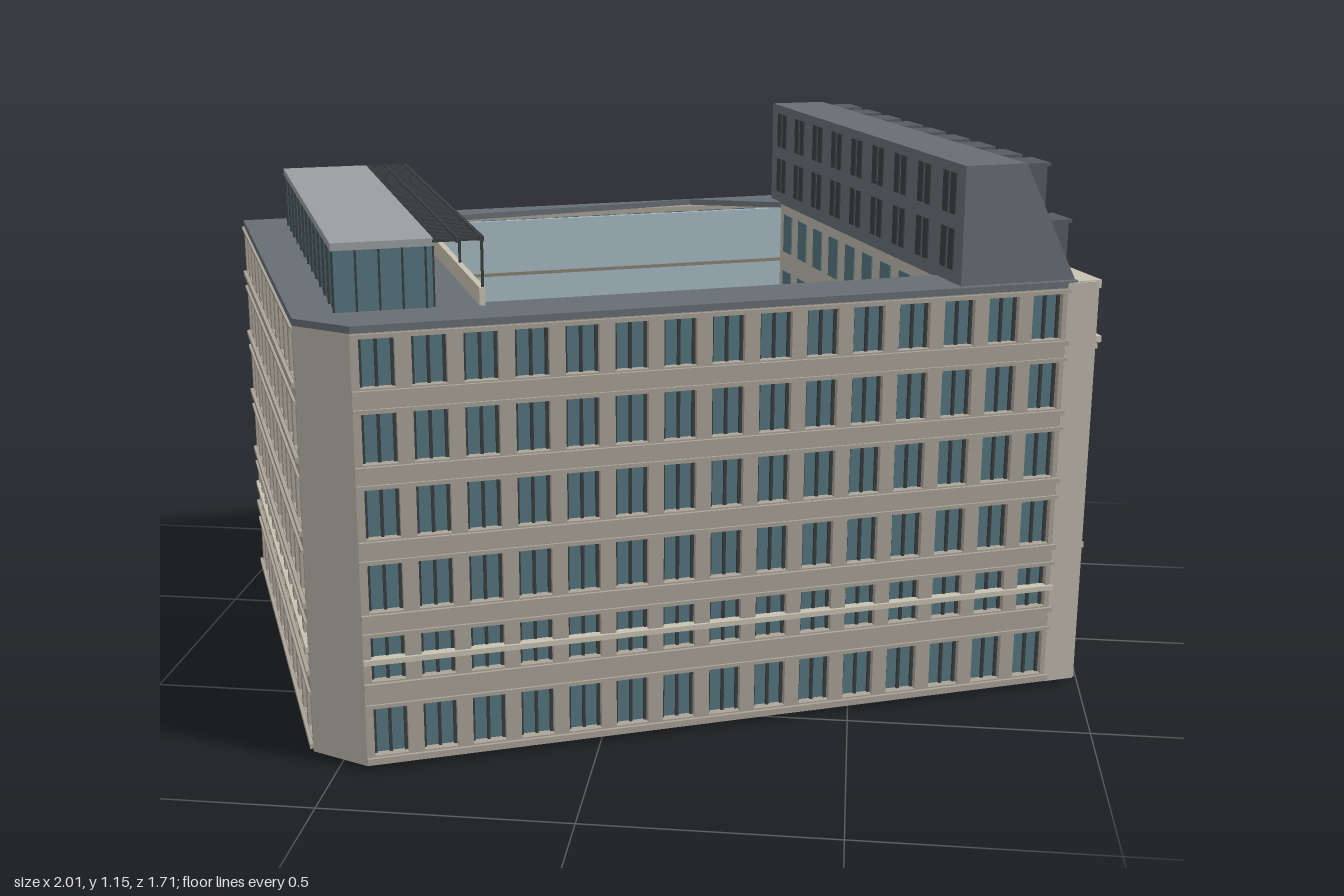
import * as THREE from 'three';
import { mergeGeometries } from 'three/addons/utils/BufferGeometryUtils.js';

const STONE = 0xaaa498, PALE = 0xbcb7ac, GLASS = 0x56757e, SLATE = 0x666e74, DARK = 0x3a3e40,
  YARD = 0xa9bcc4, TRIM = 0xc8c2b2;

function add(parent, name, color, geometry, doubleSide = false) {
  const material = new THREE.MeshStandardMaterial({ color, flatShading: true });
  if (doubleSide) material.side = THREE.DoubleSide;
  const mesh = new THREE.Mesh(geometry, material);
  mesh.name = name;
  parent.add(mesh);
  return mesh;
}

// one mesh from a list of boxes given as [x0, x1, y0, y1, z0, z1]
function boxes(parent, name, color, list) {
  const parts = list.map(([x0, x1, y0, y1, z0, z1]) =>
    new THREE.BoxGeometry(x1 - x0, y1 - y0, z1 - z0).translate((x0 + x1) / 2, (y0 + y1) / 2, (z0 + z1) / 2));
  return add(parent, name, color, mergeGeometries(parts));
}

// group whose x runs from plan point a to b and whose z points outward
function side(parent, name, a, b) {
  const g = new THREE.Group();
  g.name = name;
  g.position.set(a[0], 0, a[1]);
  g.rotation.y = Math.atan2(a[1] - b[1], b[0] - a[0]);
  parent.add(g);
  return Math.hypot(b[0] - a[0], b[1] - a[1]);
}

// wall panel with rectangular openings [x0, x1, y0, y1], face at z
function panel(parent, x0, x1, y0, y1, z, depth, color, openings) {
  const rect = (P, a, b, c, d) => new P().moveTo(a, c).lineTo(b, c).lineTo(b, d).lineTo(a, d).closePath();
  const shape = rect(THREE.Shape, x0, x1, y0, y1);
  openings.forEach(o => shape.holes.push(rect(THREE.Path, ...o)));
  const geo = new THREE.ExtrudeGeometry(shape, { depth, bevelEnabled: false }).translate(0, 0, z - depth);
  add(parent, 'wall', color, geo);
  if (!openings.length) return;
  const gz = z - depth * 0.75;
  boxes(parent, 'glass', GLASS, openings.map(([a, b, c, d]) => [a, b, c, d, gz - 0.002, gz]));
  boxes(parent, 'windowFrames', DARK, openings.flatMap(([a, b, c, d]) => {
    const m = (a + b) / 2, t = 0.003;
    return [[m - t, m + t, c, d, gz, gz + 0.006], [a, a + 2 * t, c, d, gz, gz + 0.006],
      [b - 2 * t, b, c, d, gz, gz + 0.006], [a, b, d - t, d, gz, gz + 0.006]];
  }));
}

// office wing with six rows of equal windows
const ROWS = [[0.03, 0.13], [0.188, 0.28], [0.332, 0.43], [0.482, 0.582], [0.632, 0.732], [0.782, 0.878]];
function officeWall(parent, name, a, b, count) {
  const L = side(parent, name, a, b), g = parent.children.at(-1);
  const pitch = L / count, openings = [];
  for (const [y0, y1] of ROWS)
    for (let i = 0; i < count; i++) {
      const c = (i + 0.5) * pitch;
      openings.push([c - pitch * 0.34, c + pitch * 0.34, y0, y1]);
    }
  panel(g, 0, L, 0.01, 0.89, 0, 0.025, STONE, openings);
  boxes(g, 'sillBands', STONE, ROWS.flatMap(([y0, y1]) =>
    [[0, L, y0 - 0.014, y0 - 0.003, 0, 0.007], [0, L, y1 + 0.003, y1 + 0.01, 0, 0.005]]));
  boxes(g, 'stringCourse', TRIM, [[0, L, 0.225, 0.236, -0.015, 0.006]]);
}

function stoneFacade(parent) {
  const L = side(parent, 'stoneFacade', [0.805, 0.6], [0.805, -0.585]), g = parent.children.at(-1);
  const rows = [[0.025, 0.155], [0.195, 0.295], [0.34, 0.45], [0.49, 0.59], [0.64, 0.73], [0.805, 0.865]];
  const bays = [ // from, to, face, window centres, half width
    [0, 0.27, 0.015, [0.06, 0.2], 0.026],
    [0.27, 0.92, 0, [0.334, 0.464, 0.594, 0.723, 0.853], 0.028],
    [0.92, L, 0.015, [0.983, 1.048, 1.113], 0.019]];
  const door = 0.594;
  for (const [x0, x1, z, centres, h] of bays) {
    const openings = [], trim = [];
    for (const c of centres) rows.forEach(([y0, y1], r) => {
      if (c === door && r < 2) return;
      openings.push([c - h, c + h, y0, y1]);
      trim.push([c - h - 0.008, c + h + 0.008, y0 - 0.01, y0, z, z + 0.009],
        [c - h - 0.007, c - h, y0, y1, z, z + 0.005], [c + h, c + h + 0.007, y0, y1, z, z + 0.005],
        [c - h - 0.007, c + h + 0.007, y1, y1 + 0.007, z, z + 0.005]);
      if (r === 2) trim.push([c - h - 0.014, c + h + 0.014, y1 + 0.01, y1 + 0.02, z, z + 0.014]);
    });
    if (centres.includes(door)) openings.push([door - 0.03, door + 0.03, 0.012, 0.155]);
    panel(g, x0, x1, 0.01, 0.9, z, 0.03, PALE, openings);
    boxes(g, 'windowSurrounds', PALE, trim);
    // plinth, string courses, main cornice and eaves
    boxes(g, 'cornices', TRIM, [[x0, x1, 0.01, 0.022, z, z + 0.006], [x0, x1, 0.312, 0.324, z, z + 0.009],
      [x0, x1, 0.755, 0.765, z, z + 0.01], [x0, x1, 0.768, 0.782, z, z + 0.018],
      [x0, x1, 0.885, 0.902, -0.04, z + 0.01]]);
  }
  // vertical pilaster strips at bay corners
  boxes(g, 'pilasters', PALE, [0, 0.258, 0.92, L - 0.012].map(x => [x, x + 0.012, 0.01, 0.885, 0, 0.02]));
  // entrance porch
  const porch = [[door - 0.075, door + 0.075, 0.178, 0.192, 0, 0.032], [door - 0.066, door + 0.066, 0.16, 0.178, 0, 0.022]];
  for (const s of [-1, 1]) porch.push([door + s * 0.058 - 0.008, door + s * 0.058 + 0.008, 0.01, 0.01 + 0.012, 0, 0.028]);
  boxes(g, 'porch', TRIM, porch);
  for (const s of [-1, 1])
    add(g, 'porchColumn', TRIM, new THREE.CylinderGeometry(0.008, 0.009, 0.14, 10).translate(door + s * 0.055, 0.09, 0.014));
  boxes(g, 'door', DARK, [[door - 0.022, door + 0.022, 0.012, 0.115, -0.018, -0.01]]);
  const fan = new THREE.CylinderGeometry(0.046, 0.046, 0.008, 20, 1, false, 0, Math.PI)
    .rotateZ(Math.PI / 2).rotateY(-Math.PI / 2);
  fan.rotateZ(0).translate(door, 0.24, 0.002);
  add(g, 'fanWindow', GLASS, fan, true);
  boxes(g, 'fanBase', GLASS, [[door - 0.046, door + 0.046, 0.2, 0.24, 0, 0.005]]);
  add(g, 'fanArch', TRIM, new THREE.TorusGeometry(0.048, 0.005, 6, 20, Math.PI).translate(door, 0.24, 0.004));
  // blank return wall at the front end
  boxes(parent, 'returnWall', PALE, [[0.75, 0.82, 0.01, 0.9, 0.578, 0.606]]);
}

function mansard(parent) {
  const g = new THREE.Group();
  g.name = 'mansard';
  parent.add(g);
  const s = new THREE.Shape([[0.515, 0.9], [0.775, 0.9], [0.65, 1.15], [0.515, 1.15]].map(p => new THREE.Vector2(...p)));
  add(g, 'mansardRoof', SLATE, new THREE.ExtrudeGeometry(s, { depth: 1.145, bevelEnabled: false }).translate(0, 0, -0.555));
  const cheeks = [], panes = [], frames = [], yardPanes = [];
  for (let i = 0; i < 9; i++) {
    for (const [u, y0, y1, shift] of [[0.768, 0.905, 1.018, 0.02], [0.712, 1.03, 1.138, 0.02]]) {
      const v = 0.5 - i * 0.1265 + shift, w = 0.038;
      cheeks.push([u - 0.06, u, y0, y1, v - w, v + w], [u - 0.06, u + 0.006, y1, y1 + 0.007, v - w - 0.004, v + w + 0.004]);
      panes.push([u, u + 0.003, y0 + 0.012, y1 - 0.01, v - 0.026, v + 0.026]);
      frames.push([u, u + 0.005, y0 + 0.01, y1 - 0.008, v - 0.002, v + 0.002]);
    }
    // narrow windows toward the yard
    for (const y of [0.93, 1.045])
      for (const o of [-0.018, 0.018]) yardPanes.push([0.512, 0.516, y, y + 0.085, 0.52 - i * 0.125 + o - 0.012, 0.52 - i * 0.125 + o + 0.012]);
  }
  boxes(g, 'dormers', 0x555c62, cheeks);
  boxes(g, 'dormerGlass', 0x6f8288, panes);
  boxes(g, 'dormerFrames', DARK, frames);
  boxes(g, 'yardWindows', DARK, yardPanes);
}

function penthouse(parent) {
  const g = new THREE.Group();
  g.name = 'penthouse';
  parent.add(g);
  boxes(g, 'penthouseGlass', GLASS, [[-0.74, -0.55, 0.9, 1.025, -0.49, 0.49]]);
  boxes(g, 'penthouseRoof', 0x9a9fa1, [[-0.745, -0.548, 1.025, 1.04, -0.495, 0.495]]);
  const bars = [];
  for (let i = 0; i <= 12; i++) for (const u of [-0.742, -0.55])
    bars.push([u - 0.002, u + 0.004, 0.9, 1.025, -0.488 + i * 0.081, -0.484 + i * 0.081]);
  for (let i = 0; i < 4; i++) for (const v of [-0.492, 0.488])
    bars.push([-0.7 + i * 0.045, -0.696 + i * 0.045, 0.9, 1.025, v, v + 0.004]);
  boxes(g, 'penthouseMullions', DARK, bars);
  // slatted canopy on posts
  const slats = [[-0.458, -0.45, 1.03, 1.04, -0.5, 0.5], [-0.505, -0.499, 1.03, 1.04, -0.5, 0.5]];
  for (let i = 0; i <= 66; i++) slats.push([-0.55, -0.45, 1.032, 1.038, -0.5 + i * 0.015, -0.494 + i * 0.015]);
  for (let i = 0; i < 5; i++) slats.push([-0.457, -0.452, 0.9, 1.03, -0.498 + i * 0.248, -0.493 + i * 0.248]);
  boxes(g, 'canopy', DARK, slats);
  boxes(g, 'yardParapet', TRIM, [[-0.462, -0.45, 0.9, 0.94, -0.5, 0.5]]);
}

function courtyard(parent) {
  const g = new THREE.Group();
  g.name = 'courtyard';
  parent.add(g);
  boxes(g, 'floorPlate', 0x5c5c56, [[-0.7, 0.54, 0, 0.01, -0.48, 0.455]]);
  boxes(g, 'yardGlazing', YARD, [[-0.45, 0.52, 0.01, 0.89, 0.472, 0.482], [-0.45, 0.52, 0.01, 0.89, -0.49, -0.48]]);
  boxes(g, 'yardWalls', PALE, [[-0.462, -0.45, 0.01, 0.9, -0.49, 0.48], [0.515, 0.54, 0.01, 0.9, -0.49, 0.48]]);
  const lines = [], wins = [];
  for (const [y0, y1] of ROWS.slice(3)) {
    for (const [a, b] of [[0.468, 0.473], [-0.481, -0.476]]) lines.push([-0.45, 0.515, y0 - 0.03, y0 - 0.022, a, b]);
    for (let i = 0; i < 9; i++) wins.push([0.512, 0.516, y0, y1, -0.45 + i * 0.105, -0.395 + i * 0.105]);
  }
  boxes(g, 'storeyLines', 0x8a8578, lines);
  boxes(g, 'yardWindows', GLASS, wins);
  // glazed yard roof with beams and glazing bars
  boxes(g, 'yardRoof', YARD, [[-0.45, 0.515, 0.49, 0.5, -0.48, 0.472]]);
  const beams = [], bars = [];
  for (let i = 1; i < 9; i++) beams.push([-0.45, 0.515, 0.5, 0.508, -0.482 + i * 0.106, -0.476 + i * 0.106]);
  for (let i = 1; i < 16; i++) bars.push([-0.451 + i * 0.06, -0.449 + i * 0.06, 0.5, 0.503, -0.48, 0.472]);
  boxes(g, 'roofBeams', 0x8a8578, beams);
  boxes(g, 'glazingBars', 0x6d7f88, bars);
  boxes(g, 'backLedge', TRIM, [[-0.45, 0.515, 0.49, 0.512, -0.53, -0.48]]);
  boxes(g, 'frontLedge', 0xb39a70, [[-0.42, 0.42, 0.5, 0.512, 0.435, 0.472]]);
}

export function createModel() {
  const root = new THREE.Group();
  root.name = 'cityBlock';
  const block = new THREE.Group();
  block.name = 'block';
  block.rotation.y = Math.PI / 8;
  root.add(block);
  // plan corners
  const A = [-0.84, -0.586], B = [0.778, -0.598], C = [0.756, 0.605], D = [-0.728, 0.608], E = [-0.824, 0.514];
  officeWall(block, 'frontWing', D, C, 15);
  officeWall(block, 'leftWing', A, E, 12);
  officeWall(block, 'backWing', B, A, 17);
  const w = side(block, 'corner', E, D);
  panel(block.children.at(-1), 0, w, 0.01, 0.89, 0, 0.025, PALE, []);
  stoneFacade(block);
  // flat roof ring with the yard opening
  const v2 = list => list.map(([u, v]) => new THREE.Vector2(u, -v));
  const ring = new THREE.Shape(v2([A, E, D, C, [0.775, 0.6], B]));
  ring.holes.push(new THREE.Path(v2([[-0.45, 0.472], [0.515, 0.472], [0.52, -0.478], [0.3, -0.588], [-0.45, -0.5]])));
  add(block, 'roof', SLATE, new THREE.ExtrudeGeometry(ring, { depth: 0.014, bevelEnabled: false })
    .rotateX(-Math.PI / 2).translate(0, 0.89, 0));
  mansard(block);
  penthouse(block);
  courtyard(block);
  return root;
}
